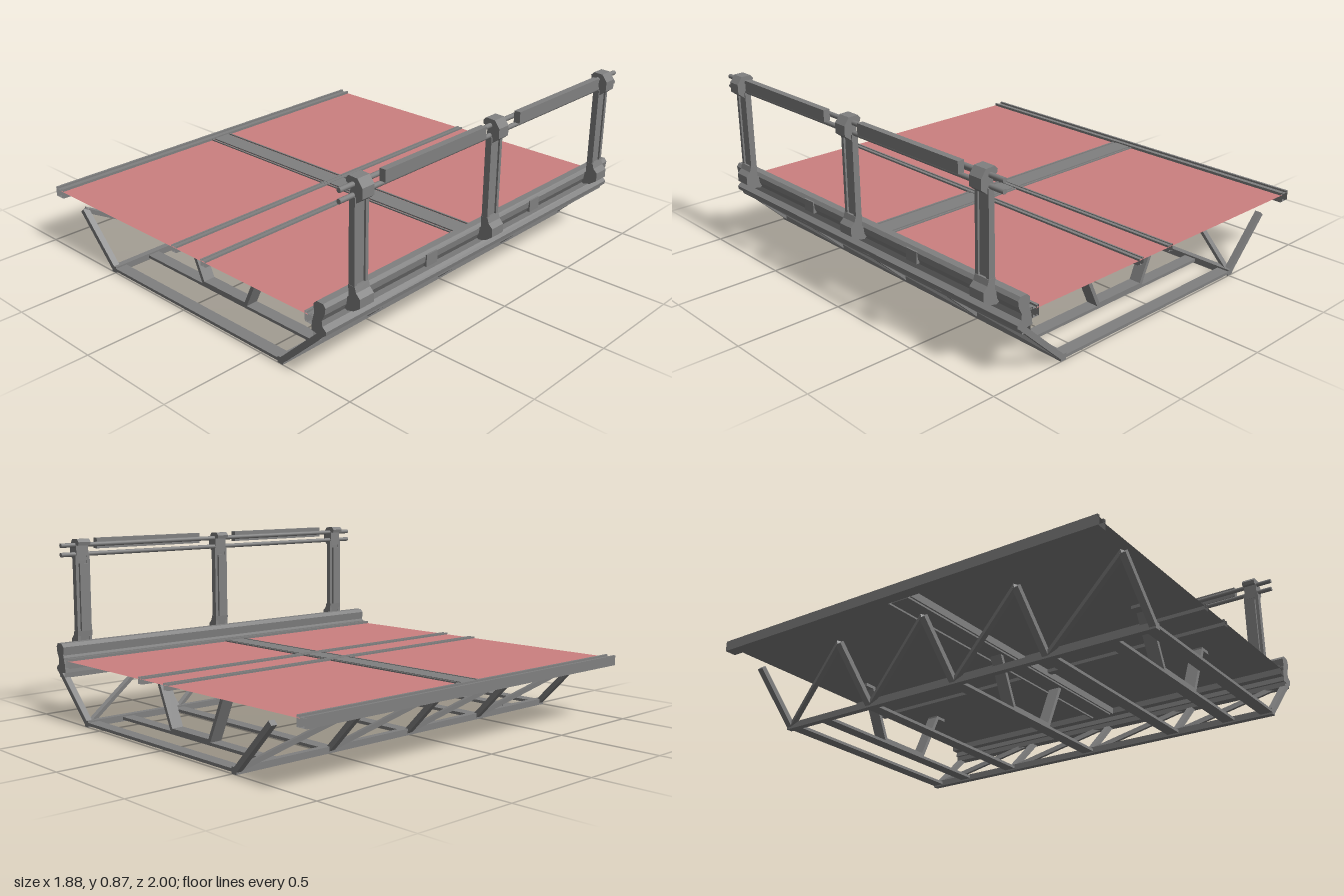
import * as THREE from 'three';

const steel = new THREE.MeshStandardMaterial({ color: 0x808080 });
steel.name = 'grey steel';
const red = new THREE.MeshStandardMaterial({ color: 0xcc8080 });
red.name = 'red deck surface';
const openSteel = new THREE.MeshStandardMaterial({ color: 0x808080, side: THREE.DoubleSide });
openSteel.name = 'grey open section';

export function createModel() {
  const model = new THREE.Group();
  model.name = 'bridgeSection';

  const add = (name, geometry, material = steel, parent = model) => {
    const mesh = new THREE.Mesh(geometry, material);
    mesh.name = name;
    parent.add(mesh);
    return mesh;
  };
  // Box given by its limits
  const box = (name, x0, x1, y0, y1, z0, z1, parent = model) => {
    const mesh = add(name, new THREE.BoxGeometry(x1 - x0, y1 - y0, z1 - z0), steel, parent);
    mesh.position.set((x0 + x1) / 2, (y0 + y1) / 2, (z0 + z1) / 2);
    return mesh;
  };
  // Lengthwise section without end caps
  const rail = (name, x0, x1, y0, y1) => {
    const mesh = box(name, x0, x1, y0, y1, -1, 1);
    const g = mesh.geometry;
    g.setIndex(Array.from(g.index.array).slice(0, 24));
    g.clearGroups();
    mesh.material = openSteel;
  };
  // Straight bar between two points
  const bar = (name, a, b, width, thick) => {
    const from = new THREE.Vector3(...a), to = new THREE.Vector3(...b);
    const mesh = add(name, new THREE.BoxGeometry(width, thick, from.distanceTo(to)));
    mesh.position.copy(from).lerp(to, 0.5);
    mesh.lookAt(to);
  };
  // Side profile extruded along z, centred on z = 0
  const profile = (name, points, depth, parent = model) => {
    const shape = new THREE.Shape(points.map(p => new THREE.Vector2(...p)));
    const g = new THREE.ExtrudeGeometry(shape, { depth, bevelEnabled: false });
    g.translate(0, 0, -depth / 2);
    return add(name, g, steel, parent);
  };

  // Deck: red sheet above, steel sheet below
  const top = add('deckSurface', new THREE.PlaneGeometry(1.68, 2), red);
  top.rotation.x = -Math.PI / 2;
  top.position.set(-0.065, 0.297, 0);
  const under = add('deckUnderside', new THREE.PlaneGeometry(1.72, 2));
  under.rotation.x = Math.PI / 2;
  under.position.set(-0.065, 0.292, 0);

  // Edge rails with raised lips
  for (const [x0, x1] of [[-0.945, -0.89], [0.76, 0.805]]) {
    rail('edgeRail', x0, x1, 0.262, 0.301);
    rail('edgeRailLip', x0, x0 + 0.012, 0.262, 0.31);
    rail('edgeRailLip', x1 - 0.012, x1, 0.262, 0.31);
  }
  // Rails beside the middle walkway
  for (const x of [-0.06, 0.135]) {
    rail('walkwayRail', x, x + 0.032, 0.275, 0.302);
    rail('walkwayRailLip', x, x + 0.008, 0.275, 0.306);
    rail('walkwayRailLip', x + 0.024, x + 0.032, 0.275, 0.306);
  }

  // Cross beam in the middle of the deck
  box('crossBeam', -0.89, 0.76, 0.258, 0.303, -0.046, 0.046);
  for (const z of [-0.061, 0.061]) box('crossBeamLip', -0.89, 0.76, 0.258, 0.303, z - 0.004, z + 0.004);

  // Kerb and the girder beneath it
  profile('kerb', [
    [0.795, 0.238], [0.835, 0.232], [0.85, 0.25], [0.873, 0.24], [0.876, 0.258], [0.855, 0.275],
    [0.852, 0.3], [0.868, 0.33], [0.872, 0.36], [0.86, 0.376], [0.825, 0.376], [0.808, 0.36],
    [0.812, 0.32], [0.8, 0.28],
  ], 2);
  rail('kerbGirder', 0.805, 0.85, 0.212, 0.24);
  for (const z of [0.37, -0.37]) box('kerbJoint', 0.86, 0.876, 0.31, 0.365, z - 0.035, z + 0.035);

  // Underframe: chords, cross plates, sloping posts and braces
  const sides = [[-0.51, -0.735, 0.25], [0.615, 0.86, 0.25]];
  const stations = [0.985, 0.485, 0, -0.485, -0.985];
  for (const [xb, xt, yt] of sides) {
    box('bottomChord', xb - 0.015, xb + 0.015, 0.005, 0.035, -1, 1);
    for (const z of stations) bar('slopingPost', [xb, 0.017, z], [xt, yt, z], 0.03, 0.025);
    for (let i = 0; i < 4; i++) {
      const z0 = stations[i] - 0.02, z1 = stations[i + 1];
      bar('diagonalBrace', [xt, yt, z0 - 0.04 + 0.06], [xb, 0.02, z1], 0.022, 0.022);
    }
  }
  for (const z of [0.97, 0.485, 0, -0.485, -0.97]) box('crossPlate', -0.51, 0.615, 0.013, 0.027, z - 0.03, z + 0.03);

  // Inner support frames
  for (const z of [-0.78, 0, 0.78]) {
    box('frameTie', -0.51, 0.615, 0.013, 0.027, z - 0.03, z + 0.03);
    box('frameFoot', -0.095, 0.2, 0.022, 0.04, z - 0.03, z + 0.03);
    for (const s of [-1, 1]) {
      const x = d => 0.0525 + s * d;
      bar('frameLeg', [x(0.142), 0.03, z], [x(0.255), 0.272, z], 0.06, 0.018);
      const a = x(0.245), b = x(0.31);
      box('frameBracket', Math.min(a, b), Math.max(a, b), 0.265, 0.28, z - 0.03, z + 0.03);
    }
  }

  // Railing posts
  for (const z of [-0.84, 0, 0.84]) {
    const post = new THREE.Group();
    post.name = 'railingPost';
    post.position.z = z;
    model.add(post);
    box('postWeb', 0.88, 0.9, 0.37, 0.79, -0.022, 0.022, post);
    for (const s of [-1, 1]) box('postFlange', 0.878, 0.908, 0.37, 0.79, s * 0.031 - 0.008, s * 0.031 + 0.008, post);
    box('postFace', 0.868, 0.88, 0.42, 0.75, -0.022, 0.022, post);
    profile('postBase', [
      [0.855, 0.312], [0.87, 0.303], [0.905, 0.312], [0.938, 0.335], [0.938, 0.375],
      [0.918, 0.395], [0.91, 0.42], [0.876, 0.42], [0.88, 0.37], [0.868, 0.36],
    ], 0.08, post);
    profile('postHead', [
      [0.878, 0.765], [0.908, 0.765], [0.94, 0.79], [0.94, 0.835], [0.915, 0.868],
      [0.87, 0.87], [0.856, 0.855], [0.86, 0.838], [0.88, 0.838],
    ], 0.066, post);
  }

  // Horizontal rods and handrail pads
  for (const y of [0.84, 0.795]) {
    const rod = add('railingRod', new THREE.CylinderGeometry(0.011, 0.011, 1.9, 12));
    rod.rotation.x = Math.PI / 2;
    rod.position.set(0.893, y, 0);
  }
  for (const z of [-0.43, 0.43]) box('handrailPad', 0.906, 0.937, 0.817, 0.869, z - 0.312, z + 0.312);

  return model;
}
